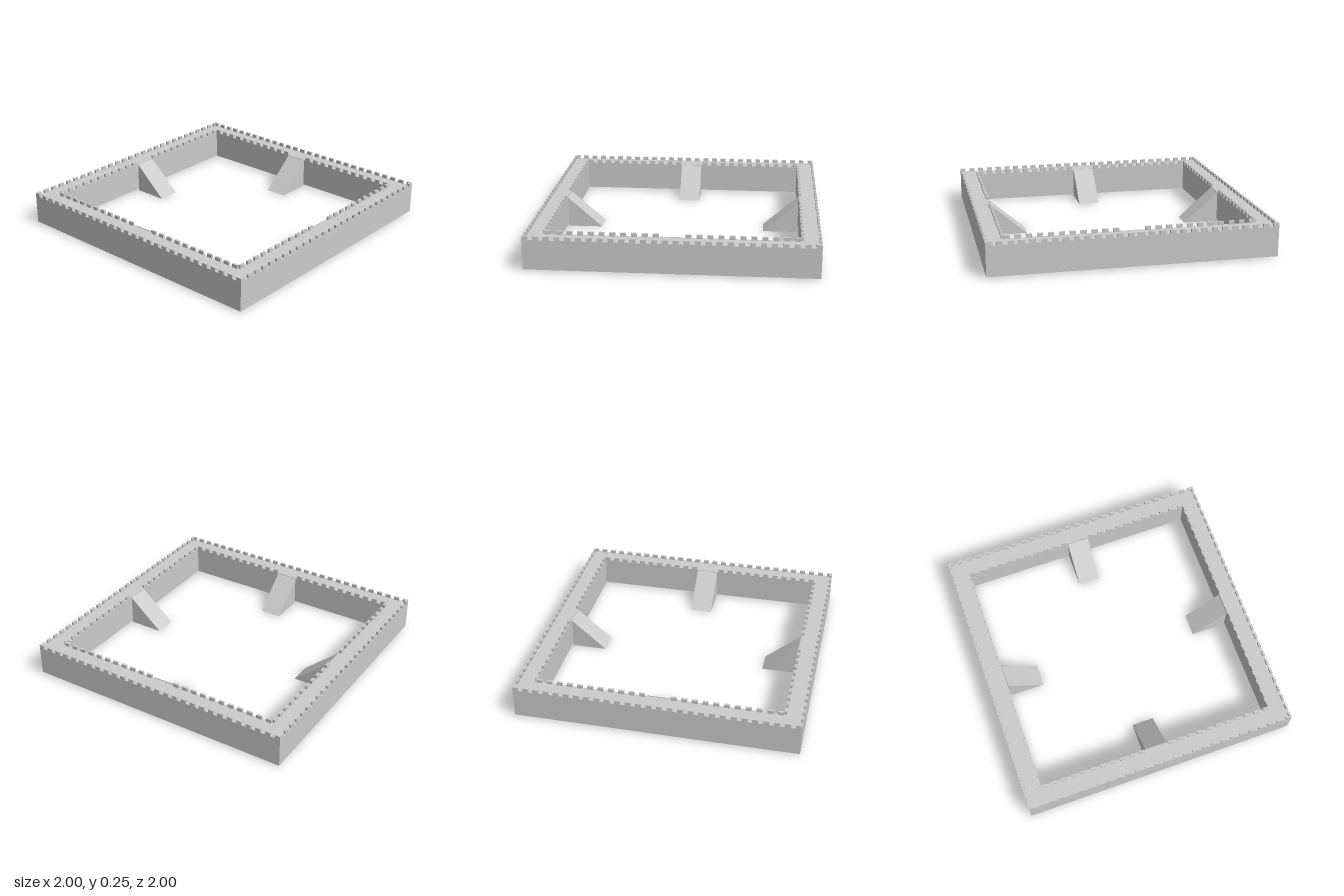
import * as THREE from 'three';

export function createModel() {
  const model = new THREE.Group();
  const mat = new THREE.MeshStandardMaterial({ color: 0xcccccc, flatShading: true });
  const OUT = 1, IN = 0.866, BASE = 0.01, WALK = 0.222, TOP = 0.247;
  const THICK = 0.016, RAMP_HALF = 0.08;

  // Square rampart: one extruded frame with an open courtyard
  const square = (path, r) =>
    path.moveTo(-r, -r).lineTo(r, -r).lineTo(r, r).lineTo(-r, r).closePath();
  const frame = square(new THREE.Shape(), OUT);
  frame.holes.push(square(new THREE.Path(), IN));
  const wallGeo = new THREE.ExtrudeGeometry(frame, { depth: WALK - BASE, bevelEnabled: false });
  wallGeo.rotateX(-Math.PI / 2).translate(0, BASE, 0);
  const wall = new THREE.Mesh(wallGeo, mat);
  wall.name = 'rampartWall';
  model.add(wall);

  // Wedge ramp profile: (distance from centre, height)
  const wedge = new THREE.Shape();
  wedge.moveTo(0.605, 0).lineTo(0.86, 0).lineTo(0.86, WALK).closePath();
  const rampGeo = new THREE.ExtrudeGeometry(wedge, { depth: RAMP_HALF * 2, bevelEnabled: false });
  rampGeo.translate(0, 0, -RAMP_HALF).rotateY(-Math.PI / 2);

  const merlonGeo = new THREE.BoxGeometry(0.04, TOP - WALK, THICK);

  // A row of merlons along x at distance z, optionally open at the ramp
  function merlonRow(name, half, z, count, gap) {
    const row = new THREE.Group();
    row.name = name;
    const step = (2 * half - 0.04) / (count - 1);
    for (let i = 0; i < count; i++) {
      const x = -half + 0.02 + i * step;
      if (Math.abs(x) < gap) continue;
      const merlon = new THREE.Mesh(merlonGeo, mat);
      merlon.name = 'merlon';
      merlon.position.set(x, (WALK + TOP) / 2, z);
      row.add(merlon);
    }
    return row;
  }

  // Same battlements and ramp on each of the four sides
  ['front', 'left', 'back', 'right'].forEach((side, i) => {
    const group = new THREE.Group();
    group.name = side + 'Side';
    const ramp = new THREE.Mesh(rampGeo, mat);
    ramp.name = 'ramp';
    group.add(
      ramp,
      merlonRow('outerBattlement', OUT, OUT - THICK / 2, 28, 0),
      merlonRow('innerBattlement', IN, IN + THICK / 2, 24, RAMP_HALF)
    );
    group.rotation.y = i * Math.PI / 2;
    model.add(group);
  });

  return model;
}
